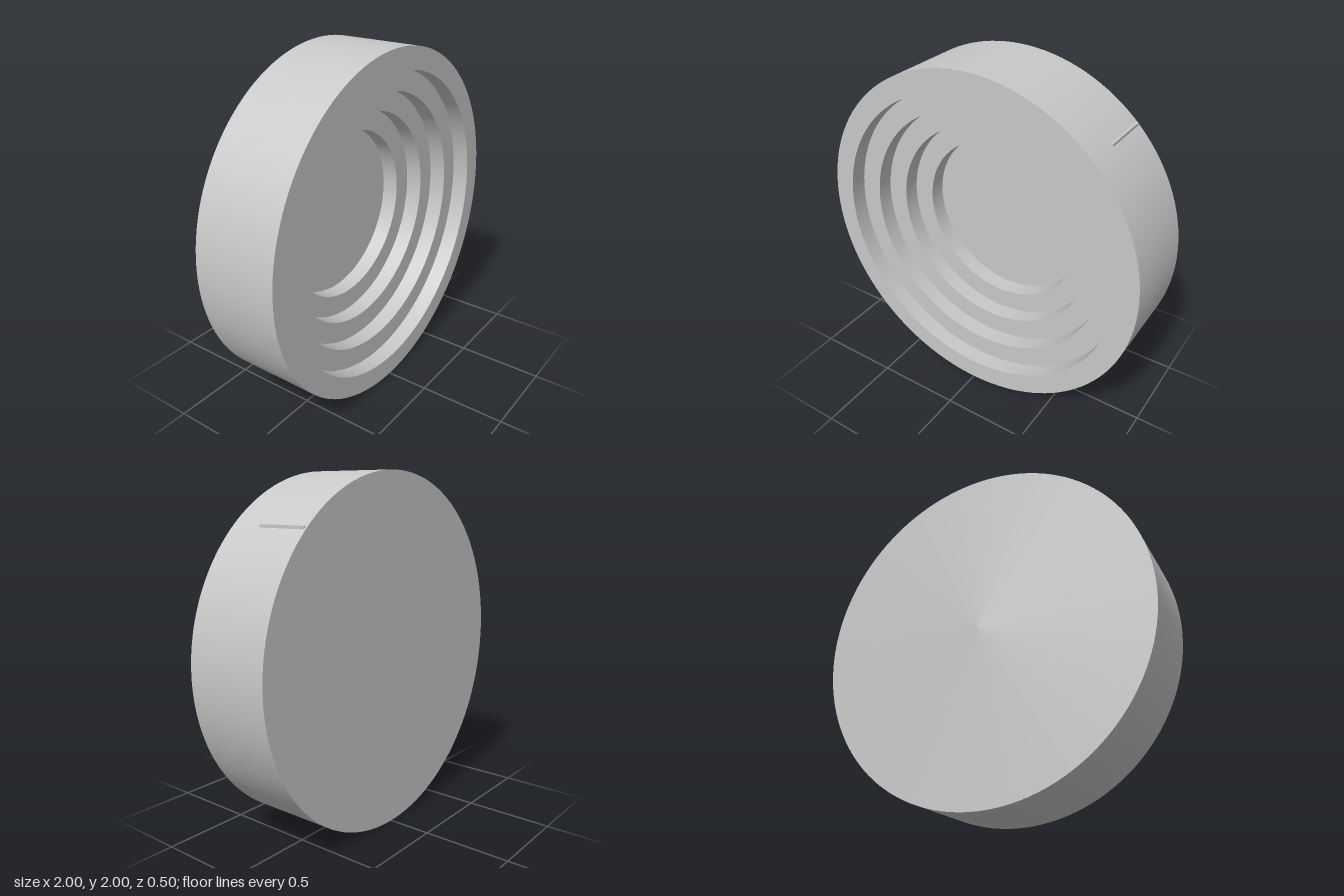
import * as THREE from 'three';
import { toCreasedNormals } from 'three/addons/utils/BufferGeometryUtils.js';

export function createModel() {
  const group = new THREE.Group();
  const grey = new THREE.MeshStandardMaterial({ color: 0xc8c8c8 });
  grey.name = 'light grey';

  // Round body: flat back, outer wall, then four steps down into the dish
  const profile = [[0, -0.25], [1, -0.25], [1, 0.25]];
  const stepRadii = [0.875, 0.75, 0.625, 0.5];
  stepRadii.forEach((r, i) => {
    const z = 0.25 - i * 0.1;
    profile.push([r, z], [r, z - 0.1]);
  });
  profile.push([0, -0.15]);

  const lathe = new THREE.LatheGeometry(profile.map(([r, z]) => new THREE.Vector2(r, z)), 128);
  const body = new THREE.Mesh(toCreasedNormals(lathe, 0.6), grey);
  body.name = 'steppedDish';
  body.rotation.x = Math.PI / 2;
  body.position.y = 1;
  group.add(body);

  // Thin marker rib lying along the rim
  const rib = new THREE.Mesh(new THREE.BoxGeometry(0.016, 0.016, 0.29), grey);
  rib.name = 'rimRib';
  rib.position.set(0.692, 1.723, -0.092);
  group.add(rib);

  return group;
}
